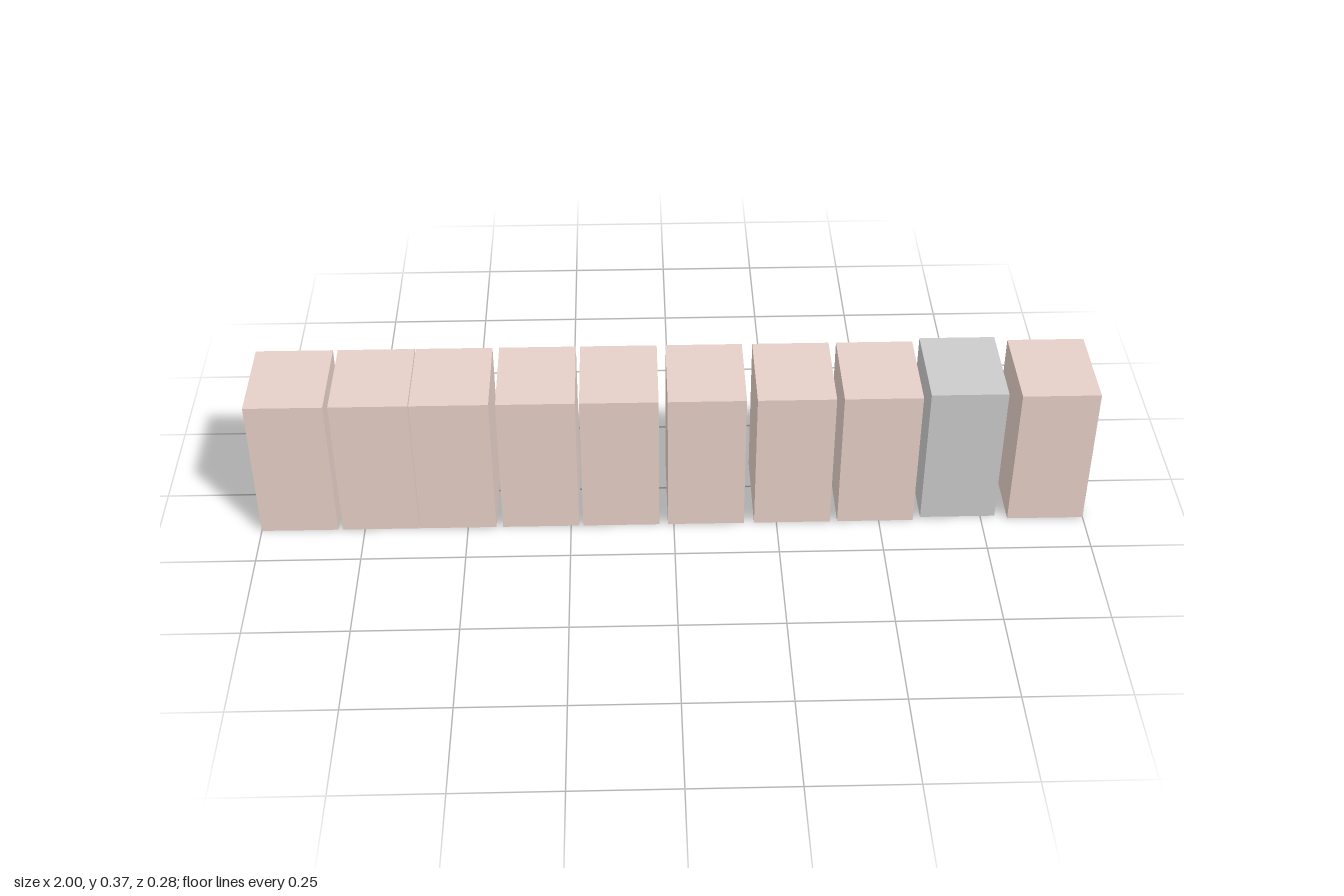
import * as THREE from 'three';

const pink = new THREE.MeshStandardMaterial({ color: 0xe6d0c8 });
const grey = new THREE.MeshStandardMaterial({ color: 0xcccccc });
const black = new THREE.MeshStandardMaterial({ color: 0x111111 });

// Box given by its extents on each axis
function addBox(parent, name, material, [x0, x1], [y0, y1], [z0, z1]) {
  const mesh = new THREE.Mesh(new THREE.BoxGeometry(x1 - x0, y1 - y0, z1 - z0), material);
  mesh.position.set((x0 + x1) / 2, (y0 + y1) / 2, (z0 + z1) / 2);
  mesh.name = name;
  parent.add(mesh);
}

// Cabinet with two stacked panels, their knobs and a pair of low boxes on the back
function createCabinet() {
  const g = new THREE.Group();
  g.name = 'cabinet';
  addBox(g, 'cabinetBody', pink, [-0.0925, 0.0925], [0, 0.37], [-0.091, 0.14]);
  const raised = [-0.112, -0.091];
  for (const [y0, y1, knobY] of [[0.249, 0.339, 0.295], [0.145, 0.237, 0.188]]) {
    addBox(g, 'panel', pink, [-0.077, 0.067], [y0, y1], raised);
    addBox(g, 'knob', black, [0.056, 0.062], [knobY - 0.0035, knobY + 0.0035], [-0.115, -0.112]);
  }
  addBox(g, 'lowerBoxRight', pink, [-0.079, -0.028], [0.016, 0.107], raised);
  addBox(g, 'lowerBoxLeft', pink, [0.026, 0.077], [0.016, 0.107], raised);
  return g;
}

// Plain grey unit with a stepped hatch on the back
function createGreyUnit() {
  const g = new THREE.Group();
  g.name = 'greyUnit';
  addBox(g, 'greyBody', grey, [-0.091, 0.091], [0.004, 0.373], [-0.1, 0.134]);
  addBox(g, 'hatch', grey, [-0.071, 0.071], [0.011, 0.166], [-0.123, -0.1]);
  addBox(g, 'hatchHandle', grey, [-0.037, 0.037], [0.054, 0.098], [-0.138, -0.123]);
  return g;
}

export function createModel() {
  const model = new THREE.Group();
  model.name = 'cabinetRow';
  // Slightly uneven spacing along the row
  for (const x of [-0.9075, -0.711, -0.524, -0.323, -0.128, 0.078, 0.288, 0.491, 0.9075]) {
    const cabinet = createCabinet();
    cabinet.position.x = x;
    model.add(cabinet);
  }
  const unit = createGreyUnit();
  unit.position.x = 0.693;
  model.add(unit);
  return model;
}
